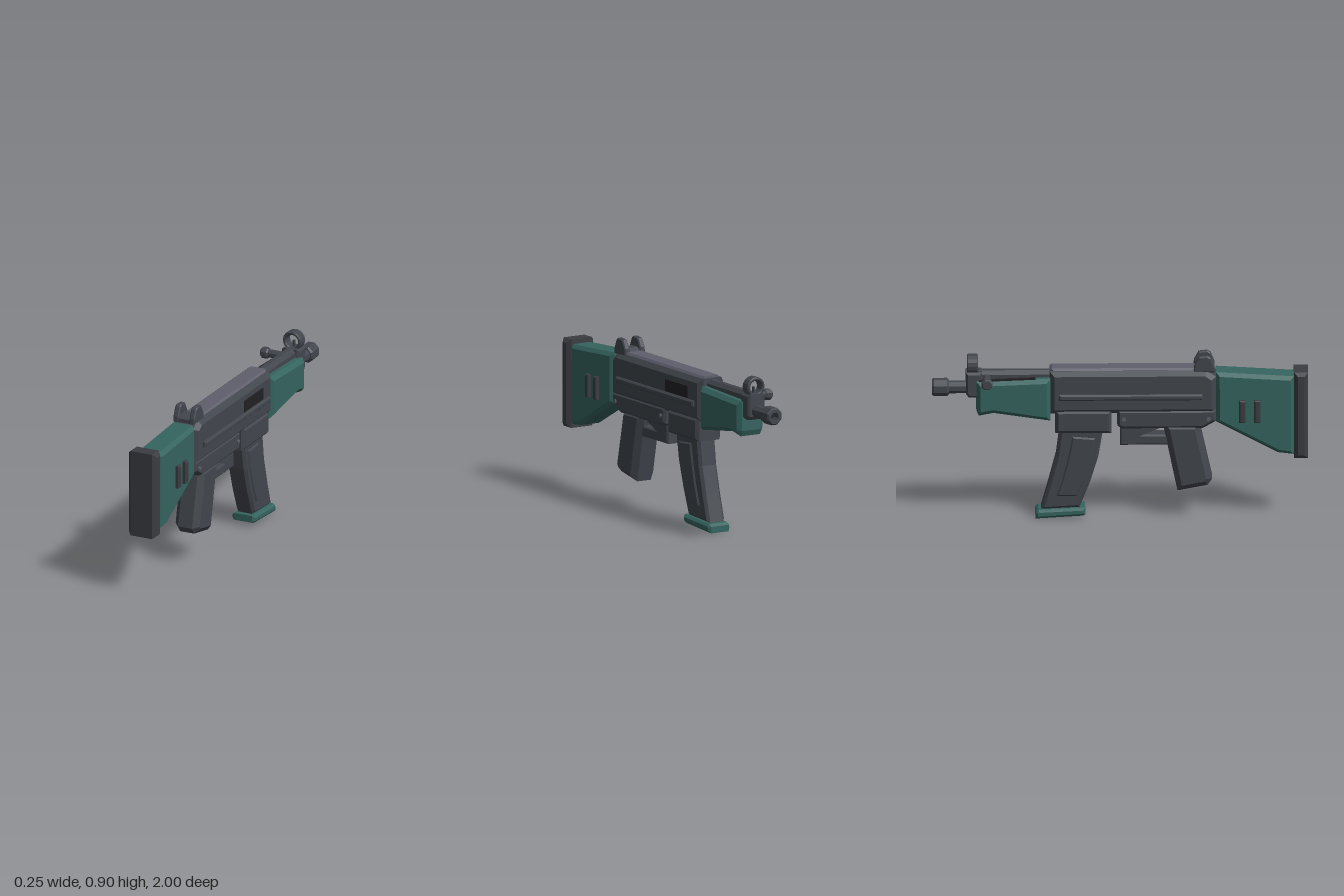
import * as THREE from 'three';

const CX = 0.026; // centre plane of the body

const mat = (name, color) => {
  const m = new THREE.MeshStandardMaterial({ color, flatShading: true });
  m.name = name;
  return m;
};

export function createModel() {
  const model = new THREE.Group();
  const steel = mat('dark steel', 0x42464d);
  const rubber = mat('dark rubber', 0x3b3d42);
  const green = mat('green polymer', 0x35645f);
  const coverGrey = mat('cover grey', 0x5f5f6d);
  const black = mat('black', 0x222224);

  const add = (name, geo, material, x = 0, y = 0, z = 0) => {
    const mesh = new THREE.Mesh(geo, material);
    mesh.name = name;
    mesh.position.set(x, y, z);
    model.add(mesh);
    return mesh;
  };

  // Chamfered slab from a side outline of [z, y] points, centred on x
  const slab = (name, points, halfWidth, bevel, material, x = CX, hole) => {
    const shape = new THREE.Shape(points.map(p => new THREE.Vector2(...p)));
    if (hole) shape.holes.push(new THREE.Path(hole.map(p => new THREE.Vector2(...p))));
    const depth = 2 * (halfWidth - bevel);
    const geo = new THREE.ExtrudeGeometry(shape, {
      depth, bevelEnabled: bevel > 0, bevelSize: bevel, bevelThickness: bevel,
      bevelOffset: -bevel, bevelSegments: 1, curveSegments: 6,
    });
    geo.translate(0, 0, -depth / 2).rotateY(-Math.PI / 2);
    return add(name, geo, material, x);
  };
  const rect = (z0, z1, y0, y1) => [[z0, y0], [z1, y0], [z1, y1], [z0, y1]];

  // Turned part along an axis from [radius, distance] points
  const turned = (name, points, sides, axis, material, x, y, z) => {
    const geo = new THREE.LatheGeometry(points.map(p => new THREE.Vector2(...p)), sides);
    geo.rotateY(Math.PI / sides);
    if (axis === 'z') geo.rotateX(-Math.PI / 2); // grows towards -z
    if (axis === 'x') geo.rotateZ(Math.PI / 2); // grows towards -x
    return add(name, geo, material, x, y, z);
  };

  // Stock
  slab('buttPlate', rect(0.925, 1, 0.335, 0.815), 0.085, 0.02, rubber);
  slab('stock', [[0.925, 0.79], [0.51, 0.815], [0.51, 0.54], [0.84, 0.365], [0.925, 0.355]],
    0.075, 0.02, green);
  for (const z of [0.73, 0.65]) {
    slab('stockSlot', rect(z - 0.017, z + 0.017, 0.54, 0.665), 0.096, 0.006, rubber);
  }

  // Receiver
  slab('receiver', [[0.51, 0.59], [-0.375, 0.59], [-0.375, 0.825], [0.46, 0.825], [0.51, 0.79]],
    0.082, 0.025, steel);
  slab('topCover', rect(-0.365, 0.46, 0.76, 0.836), 0.056, 0.014, coverGrey);
  slab('sideRib', rect(-0.325, 0.44, 0.67, 0.702), 0.098, 0.008, steel);
  add('ejectionPort', new THREE.BoxGeometry(0.008, 0.065, 0.22), black, CX + 0.081, 0.738, -0.15);
  slab('lowerReceiver', [[0.51, 0.61], [-0.015, 0.61], [-0.015, 0.52], [0.01, 0.505], [0.44, 0.505], [0.51, 0.545]],
    0.076, 0.015, steel);
  for (const z of [0.47, 0.02]) {
    const pin = new THREE.CylinderGeometry(0.012, 0.012, 0.164, 8).rotateZ(Math.PI / 2);
    add('pin', pin, coverGrey, CX, 0.56, z);
  }

  // Grip, trigger and guard
  slab('grip', [[0.42, 0.53], [0.23, 0.53], [0.235, 0.49], [0.305, 0.15], [0.465, 0.18], [0.49, 0.215]],
    0.072, 0.03, steel);
  slab('triggerGuard', rect(0, 0.27, 0.405, 0.53), 0.045, 0.008, steel, CX,
    rect(0.045, 0.24, 0.462, 0.515));
  slab('trigger', [[0.175, 0.52], [0.11, 0.52], [0.125, 0.475], [0.145, 0.462], [0.162, 0.475]],
    0.015, 0.004, steel);

  // Magazine
  slab('magazineWell', rect(-0.345, -0.045, 0.48, 0.61), 0.08, 0.018, steel);
  slab('magazine', [[-0.09, 0.5], [-0.115, 0.345], [-0.16, 0.2], [-0.215, 0.06], [-0.42, 0.05],
    [-0.378, 0.2], [-0.34, 0.345], [-0.32, 0.5]], 0.055, 0.015, steel);
  slab('magazinePanel', [[-0.13, 0.45], [-0.15, 0.335], [-0.185, 0.22], [-0.225, 0.125], [-0.34, 0.125],
    [-0.305, 0.235], [-0.28, 0.335], [-0.255, 0.46]], 0.063, 0.01, steel);
  slab('magazineBase', [[-0.185, 0.06], [-0.185, 0.022], [-0.2, 0.015], [-0.45, 0], [-0.45, 0.035], [-0.435, 0.048]],
    0.067, 0.013, green);

  // Handguard with the handle slot
  slab('handguard', [[-0.37, 0.785], [-0.765, 0.77], [-0.765, 0.61], [-0.752, 0.58], [-0.675, 0.595], [-0.37, 0.55]],
    0.082, 0.022, green);
  const slot = add('handleSlot', new THREE.BoxGeometry(0.024, 0.009, 0.3), black, -0.024, 0.777, -0.6);
  slot.rotation.x = -0.039;

  // Gas tube, barrel and muzzle
  turned('gasTube', [[0, 0], [0.036, 0], [0.036, 0.39], [0, 0.39]], 8, 'z', steel, CX, 0.785, -0.36);
  turned('barrel', [[0.034, 0], [0.034, 0.15]], 8, 'z', steel, CX, 0.722, -0.78);
  turned('muzzle', [[0, 0], [0.04, 0], [0.049, 0.01], [0.049, 0.08], [0.041, 0.09], [0.024, 0.09], [0.024, 0.03]],
    8, 'z', steel, CX, 0.722, -0.91);
  add('bore', new THREE.CircleGeometry(0.026, 8).rotateY(Math.PI), black, CX, 0.722, -0.95);

  // Charging handle
  turned('handleRod', [[0.022, 0], [0.022, 0.09]], 8, 'x', steel, 0, 0.78, -0.71);
  turned('handleKnob', [[0, 0], [0.025, 0], [0.031, 0.008], [0.031, 0.038], [0.024, 0.046], [0, 0.046]],
    8, 'x', steel, -0.083, 0.78, -0.71);

  // Front sight
  slab('frontSightBlock', [[-0.735, 0.815], [-0.82, 0.815], [-0.82, 0.695], [-0.805, 0.675], [-0.76, 0.675], [-0.735, 0.7]],
    0.053, 0.012, steel);
  const ring = new THREE.Shape().absarc(0, 0, 0.055, 0, Math.PI * 2);
  ring.holes.push(new THREE.Path().absarc(0, 0, 0.036, 0, Math.PI * 2));
  const ringGeo = new THREE.ExtrudeGeometry(ring, {
    depth: 0.046, bevelSize: 0.006, bevelThickness: 0.006, bevelOffset: -0.006, bevelSegments: 1, curveSegments: 8,
  });
  add('frontSightRing', ringGeo, steel, CX, 0.85, -0.808);
  add('frontSightPost', new THREE.BoxGeometry(0.01, 0.04, 0.012), steel, CX, 0.83, -0.785);

  // Rear sight
  slab('rearSightBase', [[0.5, 0.815], [0.395, 0.815], [0.395, 0.835], [0.42, 0.853], [0.475, 0.853], [0.5, 0.835]],
    0.064, 0.006, steel);
  for (const s of [-1, 1]) {
    slab('rearSightEar', [[0.505, 0.815], [0.39, 0.815], [0.395, 0.855], [0.42, 0.9], [0.465, 0.905], [0.482, 0.895], [0.503, 0.845]],
      0.016, 0.006, steel, CX + s * 0.048);
  }
  return model;
}
